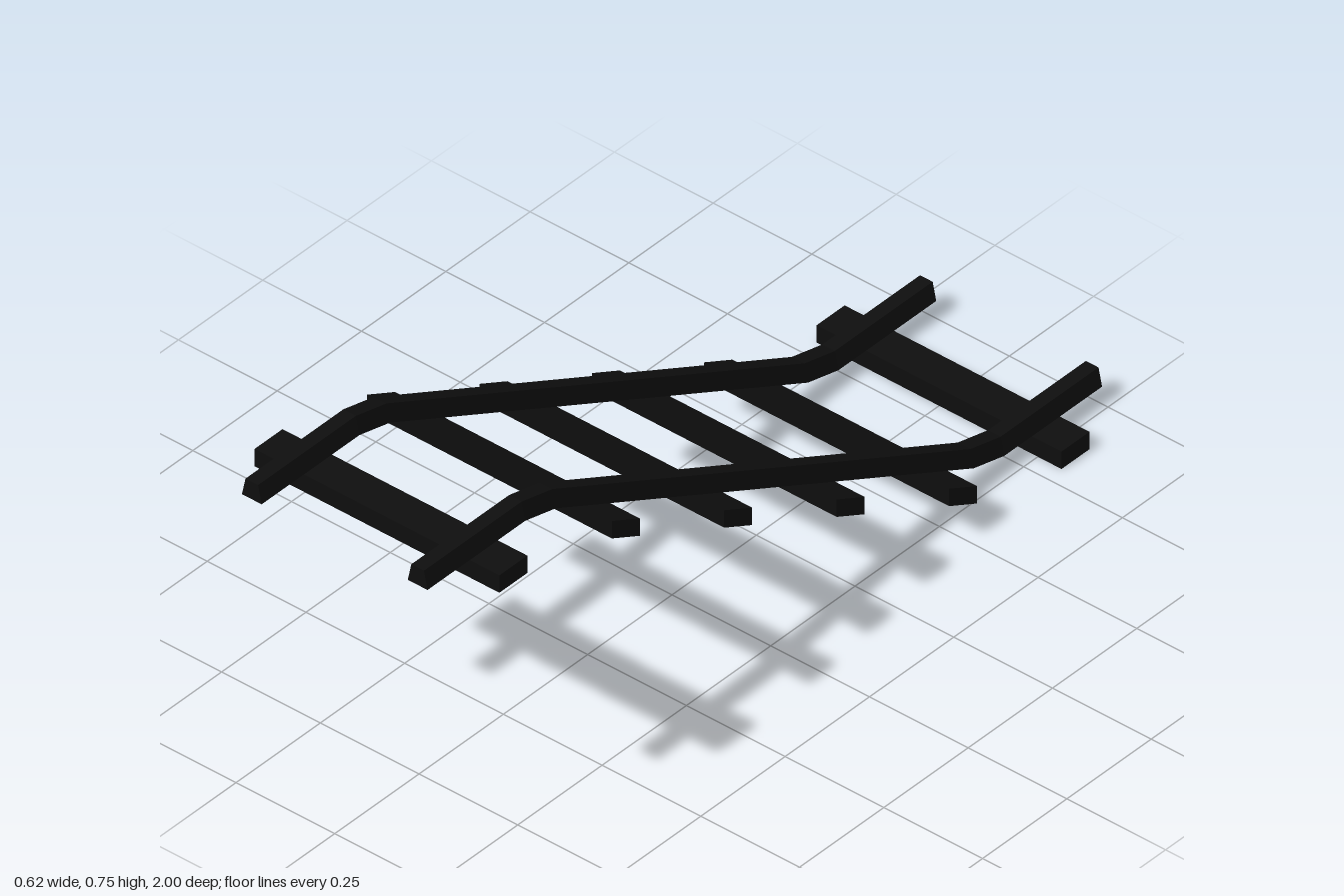
import * as THREE from 'three';

const material = new THREE.MeshStandardMaterial({ color: 0x0e0e0e, flatShading: true });

// Underside of the rail along the track: [z, y]
const path = [[-1, 0.042], [-0.71, 0.042], [-0.62, 0.064], [0.62, 0.683], [0.71, 0.705], [1, 0.705]];
const THICK = 0.042;

// Rail: a box whose stations follow the path, tapered towards the top
function railGeometry() {
  const geometry = new THREE.BoxGeometry(1, 1, 1, 1, 1, path.length - 1);
  const p = geometry.attributes.position;
  for (let i = 0; i < p.count; i++) {
    const station = Math.round((p.getZ(i) + 0.5) * (path.length - 1));
    const [z, y] = path[station];
    const top = p.getY(i) > 0;
    p.setXYZ(i, p.getX(i) * (top ? 0.032 : 0.05), y + (top ? THICK : 0), z);
  }
  geometry.computeVertexNormals();
  return geometry;
}

// Sleeper: a box sheared upright so it follows the slope
function sleeperGeometry(slope) {
  const geometry = new THREE.BoxGeometry(0.62, THICK, 0.083);
  const p = geometry.attributes.position;
  for (let i = 0; i < p.count; i++) p.setY(i, p.getY(i) + slope * p.getZ(i));
  geometry.computeVertexNormals();
  return geometry;
}

export function createModel() {
  const group = new THREE.Group();
  group.name = 'slopedTrack';

  for (const side of [-1, 1]) {
    const rail = new THREE.Mesh(railGeometry(), material);
    rail.name = side > 0 ? 'leftRail' : 'rightRail';
    rail.position.x = side * 0.21;
    group.add(rail);
  }

  // Six evenly spaced sleepers; the end ones lie flat
  for (let i = 0; i < 6; i++) {
    const z = -5 / 6 + i / 3;
    const flat = i === 0 || i === 5;
    const railBottom = flat ? (z < 0 ? 0.042 : 0.705) : 0.3735 + 0.4992 * z;
    const sleeper = new THREE.Mesh(sleeperGeometry(flat ? 0 : 0.4992), material);
    sleeper.name = `sleeper${i + 1}`;
    sleeper.position.set(0, railBottom - THICK / 2, z);
    group.add(sleeper);
  }
  return group;
}
